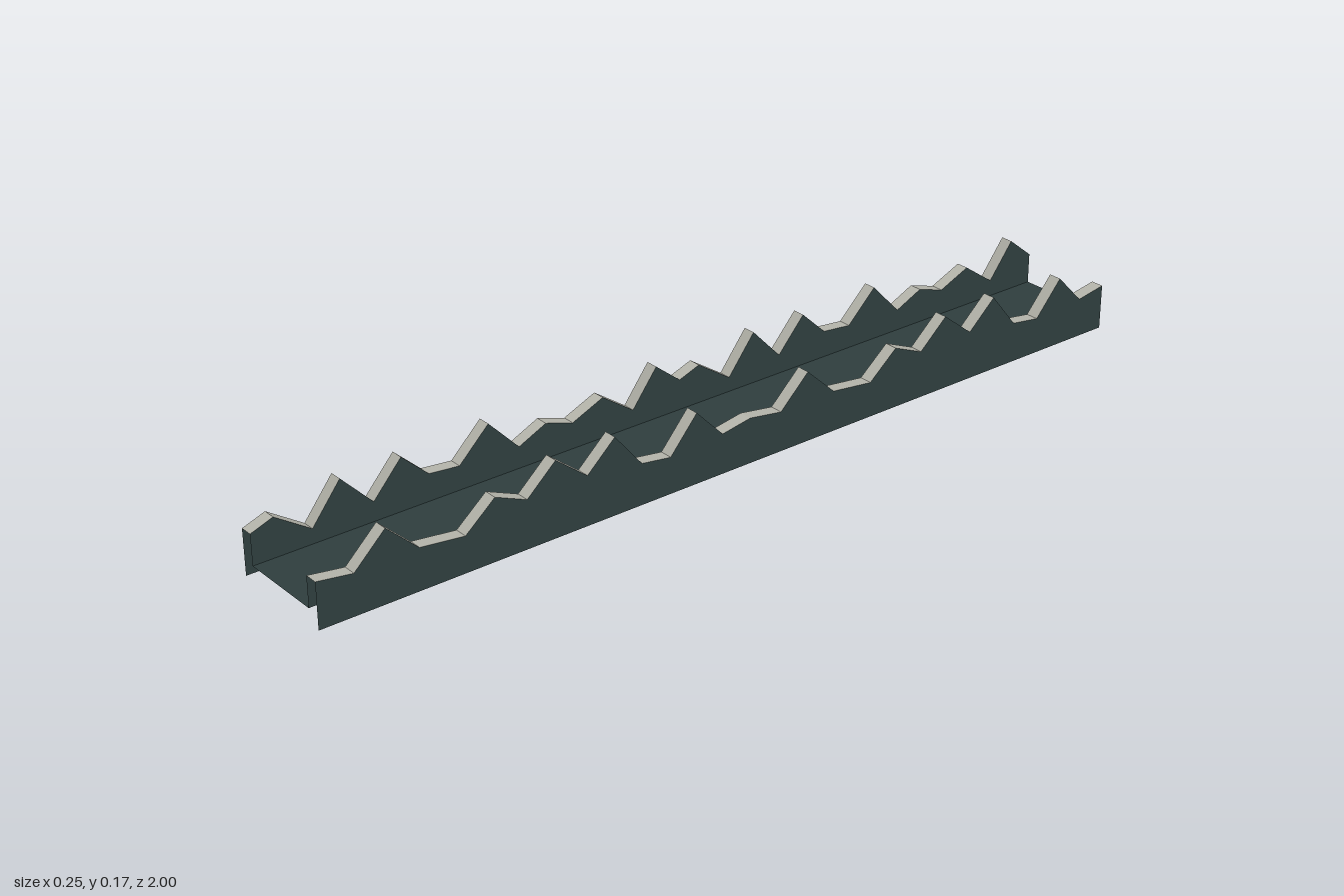
import * as THREE from 'three';

// Jagged top edges as [z, y], one half of the length; each repeats once
const RIGHT_EDGE = [[1, 0.1], [0.92, 0.088], [0.85, 0.155], [0.78, 0.09], [0.68, 0.078], [0.612, 0.135],
  [0.54, 0.105], [0.473, 0.165], [0.4, 0.108], [0.334, 0.168], [0.27, 0.09], [0.2, 0.08], [0.135, 0.155],
  [0.07, 0.088]];
const LEFT_EDGE = [[1, 0.1], [0.95, 0.118], [0.87, 0.065], [0.805, 0.148], [0.735, 0.075], [0.67, 0.148],
  [0.61, 0.092], [0.54, 0.085], [0.47, 0.153], [0.4, 0.08], [0.335, 0.11], [0.27, 0.09], [0.195, 0.122],
  [0.12, 0.07], [0.06, 0.148]];
const FLOOR_Y = 0.033;

// Strip of flat quads between two matching rows of points
function strip(a, b) {
  const pos = [];
  for (let i = 0; i < a.length - 1; i++) {
    pos.push(...a[i], ...b[i], ...b[i + 1], ...a[i], ...b[i + 1], ...a[i + 1]);
  }
  const g = new THREE.BufferGeometry();
  g.setAttribute('position', new THREE.Float32BufferAttribute(pos, 3));
  g.computeVertexNormals();
  return g;
}

export function createModel() {
  const model = new THREE.Group();
  model.name = 'brokenTrough';
  const wallMat = new THREE.MeshStandardMaterial({ color: 0x2f3f3f, side: THREE.DoubleSide });
  wallMat.name = 'darkSlate';
  const rimMat = new THREE.MeshStandardMaterial({ color: 0xb8b8ae, side: THREE.DoubleSide });
  rimMat.name = 'paleStone';

  const add = (parent, name, geometry, material) => {
    const mesh = new THREE.Mesh(geometry, material);
    mesh.name = name;
    parent.add(mesh);
    return mesh;
  };

  // Hollow wall, open below and at both ends: two skins and a jagged rim
  function jaggedWall(name, half, x0, x1, bottom0, bottom1) {
    const edge = [...half, ...half.map(([z, y]) => [z - 1, y]), [-1, half[0][1]]];
    const row = (x, y) => edge.map(([z, top]) => [x, y ?? top, z]);
    const wall = new THREE.Group();
    wall.name = name;
    add(wall, name + 'RightSkin', strip(row(x0, bottom0), row(x0)), wallMat);
    add(wall, name + 'LeftSkin', strip(row(x1), row(x1, bottom1)), wallMat);
    add(wall, name + 'Rim', strip(row(x0), row(x1)), rimMat);
    model.add(wall);
  }
  jaggedWall('wallPlusX', RIGHT_EDGE, 0.095, 0.124, FLOOR_Y, 0);
  jaggedWall('wallMinusX', LEFT_EDGE, -0.125, -0.097, 0, FLOOR_Y);

  // Thin raised floor between the inner skins
  const floor = add(model, 'floor', new THREE.PlaneGeometry(0.192, 2).rotateX(-Math.PI / 2), wallMat);
  floor.position.set(-0.001, FLOOR_Y, 0);

  return model;
}
